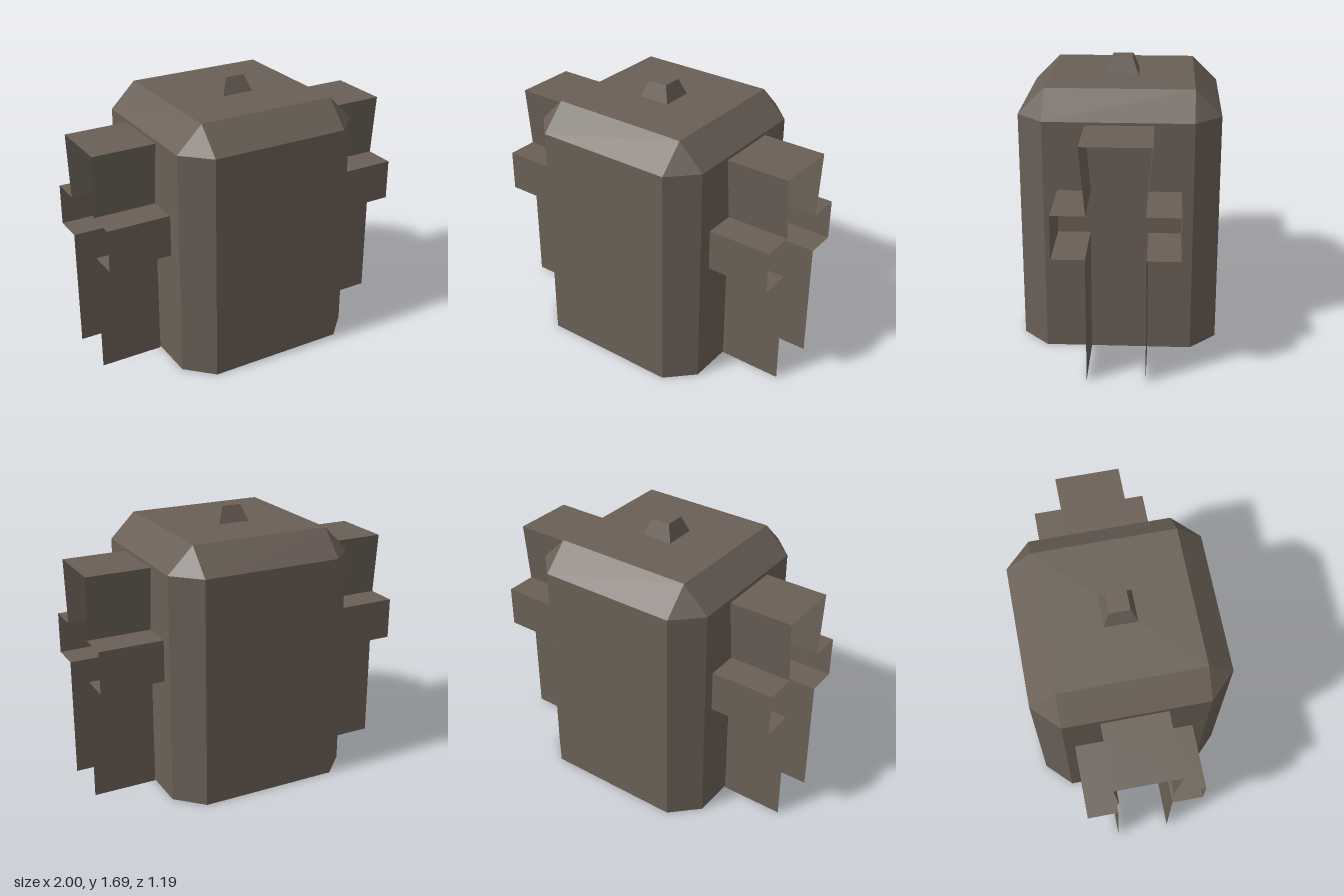
import * as THREE from 'three';

const brown = new THREE.MeshStandardMaterial({ color: 0x6a5f56, side: THREE.DoubleSide });
brown.name = 'dull brown';

// Skins quads between consecutive rows of points, with flat normals
function skin(rows, closed) {
  const pos = [];
  for (let r = 0; r + 1 < rows.length; r++) {
    const lo = rows[r], hi = rows[r + 1], n = lo.length;
    for (let i = 0; i < (closed ? n : n - 1); i++) {
      const j = (i + 1) % n;
      const tris = [[lo[i], lo[j], hi[j]], [lo[i], hi[j], hi[i]]];
      for (const [a, b, c] of tris) {
        const area = new THREE.Triangle(
          new THREE.Vector3(...a), new THREE.Vector3(...b), new THREE.Vector3(...c)).getArea();
        if (area > 1e-8) pos.push(...a, ...b, ...c);
      }
    }
  }
  const g = new THREE.BufferGeometry();
  g.setAttribute('position', new THREE.Float32BufferAttribute(pos, 3));
  g.computeVertexNormals();
  return g;
}

// Square ring with cut corners: half width h, flat sides reaching to k
const ring = (y, h, k) => [
  [-k, y, h], [k, y, h], [h, y, k], [h, y, -k],
  [k, y, -h], [-k, y, -h], [-h, y, -k], [-h, y, k],
];

function add(group, name, geometry) {
  const mesh = new THREE.Mesh(geometry, brown);
  mesh.name = name;
  group.add(mesh);
  return mesh;
}

// Hollow cross-shaped side piece, open at both ends and at the bottom
function sidePiece(x0, x1, zMid) {
  const half = [[0.17, 0], [0.17, 0.76], [0.362, 0.76], [0.362, 1.02], [0.165, 1.02], [0.2, 1.415]];
  const profile = [...half, ...half.slice().reverse().map(([z, y]) => [-z, y])];
  return skin(profile.map(([z, y]) => [[x0, y, z + zMid], [x1, y, z + zMid]]), false);
}

export function createModel() {
  const model = new THREE.Group();
  model.name = 'model';

  // Body: open below, bevelled corners and shoulders, flat top
  add(model, 'body', skin([
    ring(0, 0.596, 0.438), ring(1.43, 0.596, 0.438), ring(1.588, 0.438, 0.438), ring(1.588, 0, 0),
  ], true));

  // Small tapered knob on the lid
  add(model, 'knob', skin([
    ring(1.588, 0.1, 0.1), ring(1.688, 0.062, 0.062), ring(1.688, 0, 0),
  ], true));

  // Side pieces
  add(model, 'leftSidePiece', sidePiece(0.6, 1, -0.007));
  add(model, 'rightSidePiece', sidePiece(-1, -0.604, -0.015));
  return model;
}
